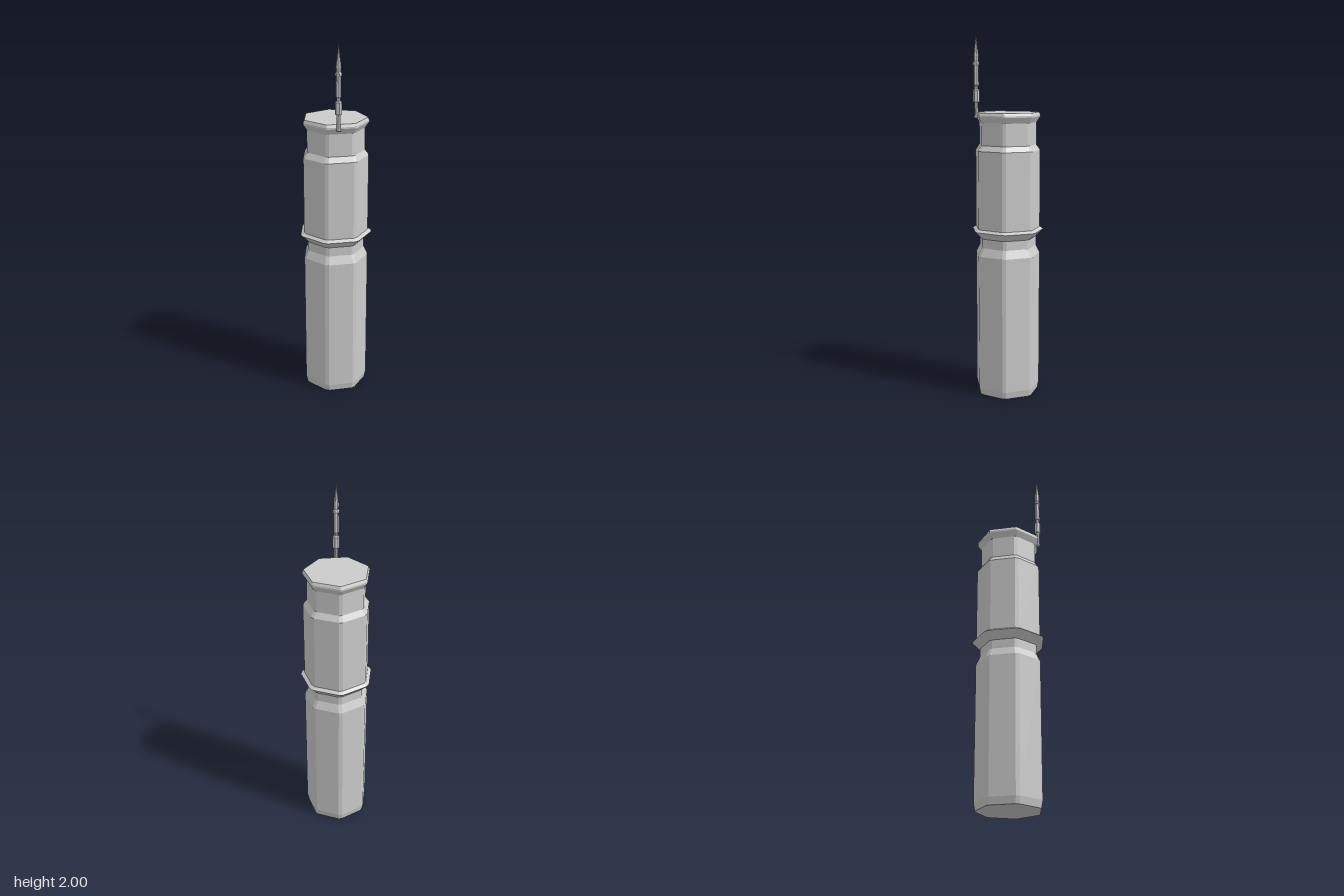
import * as THREE from 'three';

const SIDES = 7;
const material = new THREE.MeshStandardMaterial({ color: 0xcccccc, flatShading: true });

// Heptagon with cut corners: flat side at +z, corner at -z, counter-clockwise from above
function heptagon(radius, cut) {
  const corner = (i) => {
    const a = Math.PI + (i * 2 * Math.PI) / SIDES;
    return new THREE.Vector2(Math.sin(a) * radius, Math.cos(a) * radius);
  };
  const points = [];
  for (let i = 0; i < SIDES; i++) {
    points.push(corner(i).lerp(corner(i - 1), cut), corner(i).lerp(corner(i + 1), cut));
  }
  return points;
}

// Skins a stack of [radius, y, cut] heptagons and closes both ends
function loft(name, sections) {
  const rings = sections.map(([r, y, cut]) =>
    heptagon(r, cut).map((p) => new THREE.Vector3(p.x, y, p.y)));
  const positions = [];
  const tri = (a, b, c) => [a, b, c].forEach((v) => positions.push(v.x, v.y, v.z));
  const n = SIDES * 2;
  for (let k = 0; k < rings.length - 1; k++) {
    for (let i = 0; i < n; i++) {
      const j = (i + 1) % n;
      const a = rings[k][i], b = rings[k][j], c = rings[k + 1][j], d = rings[k + 1][i];
      tri(a, b, c);
      tri(a, c, d);
    }
  }
  const low = rings[0], high = rings[rings.length - 1];
  for (let i = 1; i < n - 1; i++) {
    tri(low[0], low[i + 1], low[i]);
    tri(high[0], high[i], high[i + 1]);
  }
  const geometry = new THREE.BufferGeometry();
  geometry.setAttribute('position', new THREE.Float32BufferAttribute(positions, 3));
  geometry.computeVertexNormals();
  const mesh = new THREE.Mesh(geometry, material);
  mesh.name = name;
  return mesh;
}

export function createModel() {
  const model = new THREE.Group();
  model.name = 'tower';

  const shaft = new THREE.Group();
  shaft.name = 'shaft';
  shaft.position.z = 0.005;
  const c = 0.074;

  // Lower shaft with a tapered foot and a narrow neck
  shaft.add(loft('lowerShaft', [
    [0.179, 0, c], [0.187, 0.04, c], [0.187, 0.8, c], [0.165, 0.845, c], [0.165, 0.9, c],
  ]));
  // Flared collar between the two shafts
  shaft.add(loft('collar', [[0.165, 0.896, c], [0.208, 0.937, c], [0.187, 0.95, c]]));
  // Upper shaft and its neck
  shaft.add(loft('upperShaft', [
    [0.187, 0.945, c], [0.187, 1.38, c], [0.165, 1.41, c], [0.165, 1.535, c],
  ]));
  // Cap with a bevelled rim
  shaft.add(loft('cap', [
    [0.165, 1.532, 0.05], [0.185, 1.563, 0.03], [0.185, 1.572, 0.03], [0.177, 1.587, 0.015],
  ]));
  model.add(shaft);

  // Antenna set into the edge of the cap
  const profile = [
    [0, 1.555], [0.014, 1.555], [0.011, 1.575], [0.011, 1.64], [0.019, 1.642],
    [0.019, 1.705], [0.011, 1.712], [0.011, 1.728], [0.015, 1.732], [0.014, 1.838],
    [0.018, 1.843], [0.018, 1.853], [0.013, 1.86], [0.015, 1.885], [0, 2],
  ].map(([r, y]) => new THREE.Vector2(r, y));
  const antenna = new THREE.Mesh(new THREE.LatheGeometry(profile, SIDES), material);
  antenna.name = 'antenna';
  antenna.position.set(0.122, 0, 0.122);
  model.add(antenna);

  return model;
}
